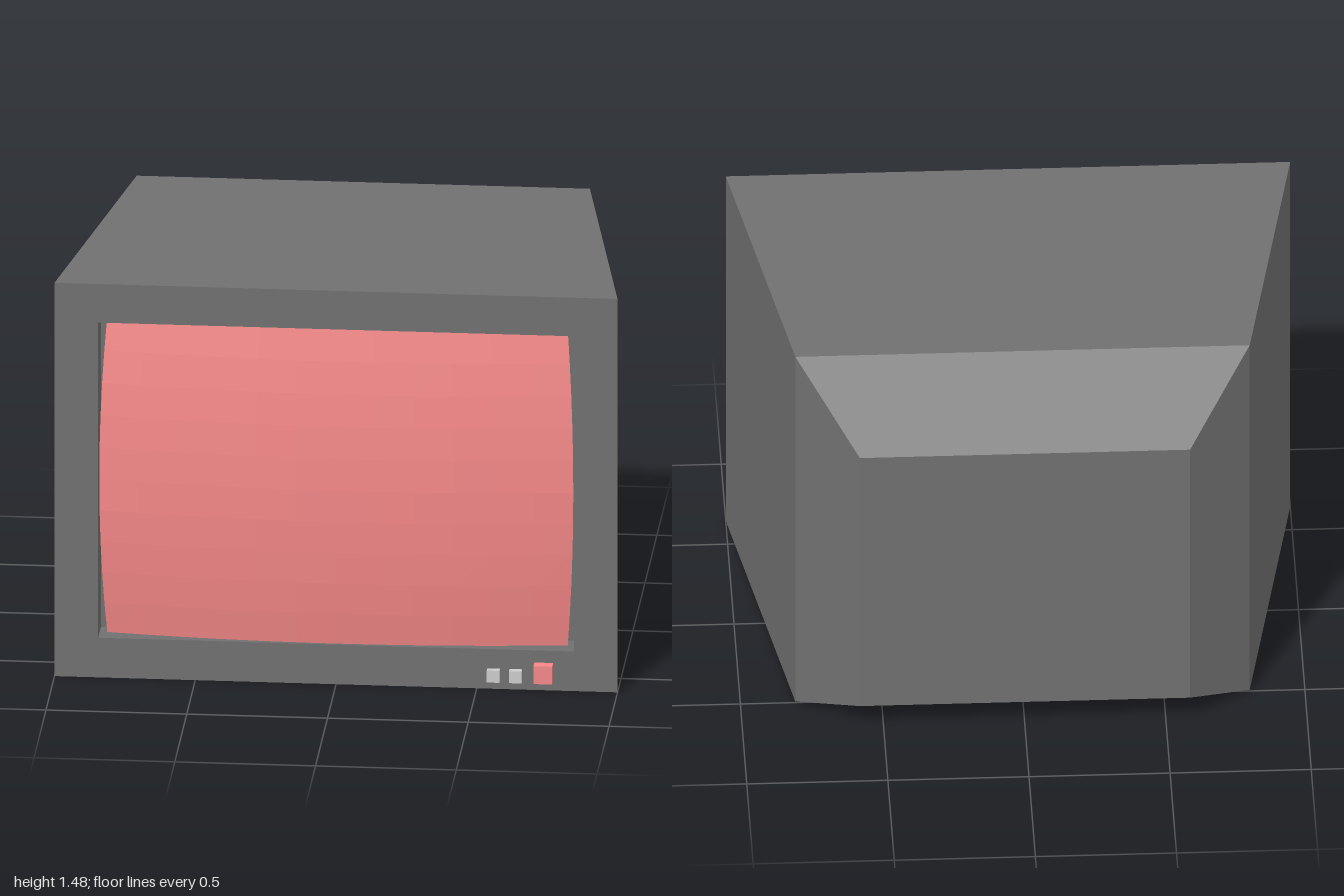
import * as THREE from 'three';

const H = 1.48, FRONT = 0.645;
const darkGrey = new THREE.MeshStandardMaterial({ color: 0x707070, flatShading: true });
const grey = new THREE.MeshStandardMaterial({ color: 0xcccccc, flatShading: true });
const red = new THREE.MeshStandardMaterial({ color: 0xf48787, flatShading: true });

// Join rectangles [halfWidth, bottom, top, z] in order and cap both ends
function loftRectangles(sections) {
  const positions = [], indices = [];
  for (const [w, y0, y1, z] of sections) {
    positions.push(-w, y0, z, w, y0, z, w, y1, z, -w, y1, z);
  }
  for (let s = 0; s < sections.length - 1; s++) {
    for (let i = 0; i < 4; i++) {
      const a = s * 4 + i, b = s * 4 + (i + 1) % 4;
      indices.push(a, b, b + 4, a, b + 4, a + 4);
    }
  }
  const e = (sections.length - 1) * 4;
  indices.push(0, 2, 1, 0, 3, 2, e, e + 1, e + 2, e, e + 2, e + 3);
  const indexed = new THREE.BufferGeometry();
  indexed.setAttribute('position', new THREE.Float32BufferAttribute(positions, 3));
  indexed.setIndex(indices);
  const geometry = indexed.toNonIndexed();
  geometry.computeVertexNormals();
  return geometry;
}

// Bulging picture tube, with its sides pulled in towards the corners
function screenGeometry() {
  const plane = new THREE.PlaneGeometry(2, 2, 12, 10);
  const p = plane.attributes.position;
  for (let i = 0; i < p.count; i++) {
    const u = p.getX(i), v = p.getY(i);
    p.setXYZ(i, u * (0.842 - 0.024 * v * v), 0.742 + 0.593 * v,
      0.685 - 0.052 * u * u - 0.051 * v * v);
  }
  const geometry = plane.toNonIndexed();
  geometry.computeVertexNormals();
  return geometry;
}

export function createModel() {
  const model = new THREE.Group();
  const add = (name, geometry, material) => {
    const mesh = new THREE.Mesh(geometry, material);
    mesh.name = name;
    model.add(mesh);
    return mesh;
  };

  // Cabinet: chamfered back, tapered sides, front bezel and screen recess
  add('cabinet', loftRectangles([
    [0.585, 0.105, 1.17, -0.685],
    [0.805, 0, H, -0.493],
    [1, 0, H, FRONT],
    [0.845, 0.149, 1.335, FRONT],
    [0.845, 0.149, 1.335, 0.53],
  ]), darkGrey);

  add('screen', screenGeometry(), red);

  // Buttons on the lower bezel: [name, x, y, size, protrusion, material]
  for (const [name, x, y, size, out, material] of [
    ['channelButton', 0.56, 0.054, 0.045, 0.024, grey],
    ['volumeButton', 0.639, 0.054, 0.045, 0.024, grey],
    ['powerButton', 0.738, 0.07, 0.067, 0.04, red],
  ]) {
    const depth = out + 0.02;
    add(name, new THREE.BoxGeometry(size, size, depth), material)
      .position.set(x, y, FRONT + out - depth / 2);
  }
  return model;
}
